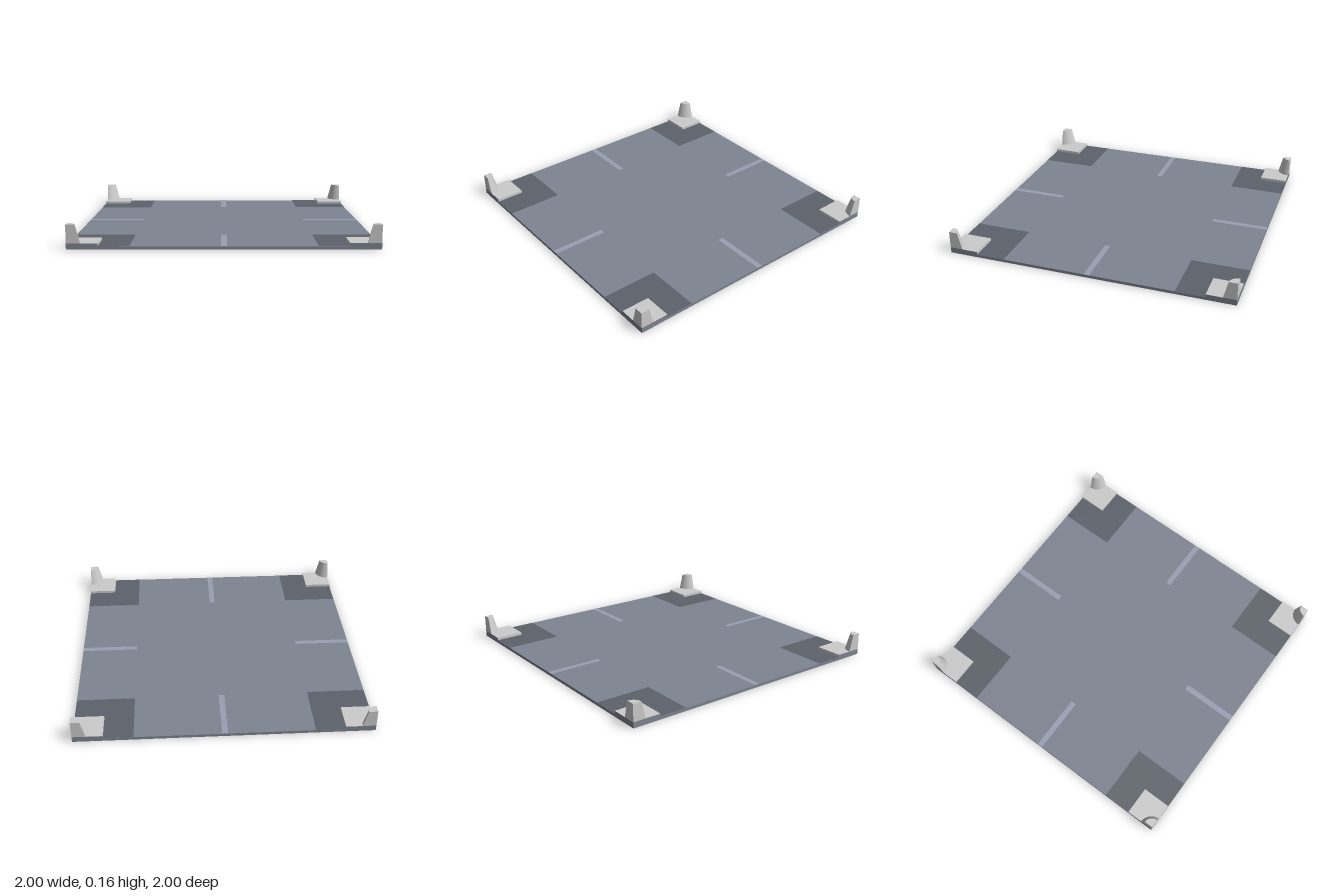
import * as THREE from 'three';

const mat = (color) => new THREE.MeshStandardMaterial({ color });

export function createModel() {
  const model = new THREE.Group();
  model.name = 'cornerPostFloorTile';

  const grey = mat(0xcccccc);
  const floorBlue = mat(0x7e8491);
  const darkBlue = mat(0x5d636b);
  const paleBlue = mat(0x999eb2);

  const add = (parent, name, geometry, material, x, y, z) => {
    const mesh = new THREE.Mesh(geometry, material);
    mesh.name = name;
    mesh.position.set(x, y, z);
    parent.add(mesh);
    return mesh;
  };

  const SLAB = 0.02, PAD = 0.04, TOP = 0.16;
  const R0 = 0.09, R1 = 0.06, H = TOP - PAD;

  // Floor slab: coloured top and rim, grey underside
  add(model, 'floorSlab', new THREE.BoxGeometry(2, SLAB, 2),
    [floorBlue, floorBlue, floorBlue, grey, floorBlue, floorBlue], 0, SLAB / 2, 0);

  // Flat marking lying just above the floor
  const marking = (w, d) => new THREE.PlaneGeometry(w, d).rotateX(-Math.PI / 2);

  // Flat cut face of a quarter post; side is the direction it spreads in
  const cutFace = (side) => new THREE.ShapeGeometry(new THREE.Shape([
    new THREE.Vector2(0, 0),
    new THREE.Vector2(side * R0, 0),
    new THREE.Vector2(side * R1, H),
    new THREE.Vector2(0, H),
  ]));

  // Each quarter turn carries one corner and one edge line
  for (let i = 0; i < 4; i++) {
    const quarter = new THREE.Group();
    quarter.name = `quarter${i + 1}`;
    quarter.rotation.y = i * Math.PI / 2;
    model.add(quarter);

    add(quarter, 'edgeLine', marking(0.04, 0.4), paleBlue, 0, SLAB + 0.001, 0.8);
    add(quarter, 'cornerPatch', marking(0.4, 0.4), darkBlue, 0.8, SLAB + 0.001, 0.8);

    // Raised pad, its outer sides matching the slab rim
    add(quarter, 'cornerPad', new THREE.BoxGeometry(0.2, PAD - SLAB, 0.2),
      [floorBlue, grey, grey, grey, floorBlue, grey], 0.9, (PAD + SLAB) / 2, 0.9);

    // Quarter of a tapered post, closed by two flat faces
    const post = new THREE.Group();
    post.name = 'cornerPost';
    post.position.set(1, PAD, 1);
    quarter.add(post);
    add(post, 'postCone',
      new THREE.CylinderGeometry(R1, R0, H, 8, 1, false, Math.PI, Math.PI / 2), grey, 0, H / 2, 0);
    add(post, 'postFrontFace', cutFace(-1), grey, 0, 0, 0);
    add(post, 'postSideFace', cutFace(1), grey, 0, 0, 0).rotation.y = Math.PI / 2;
  }

  return model;
}
